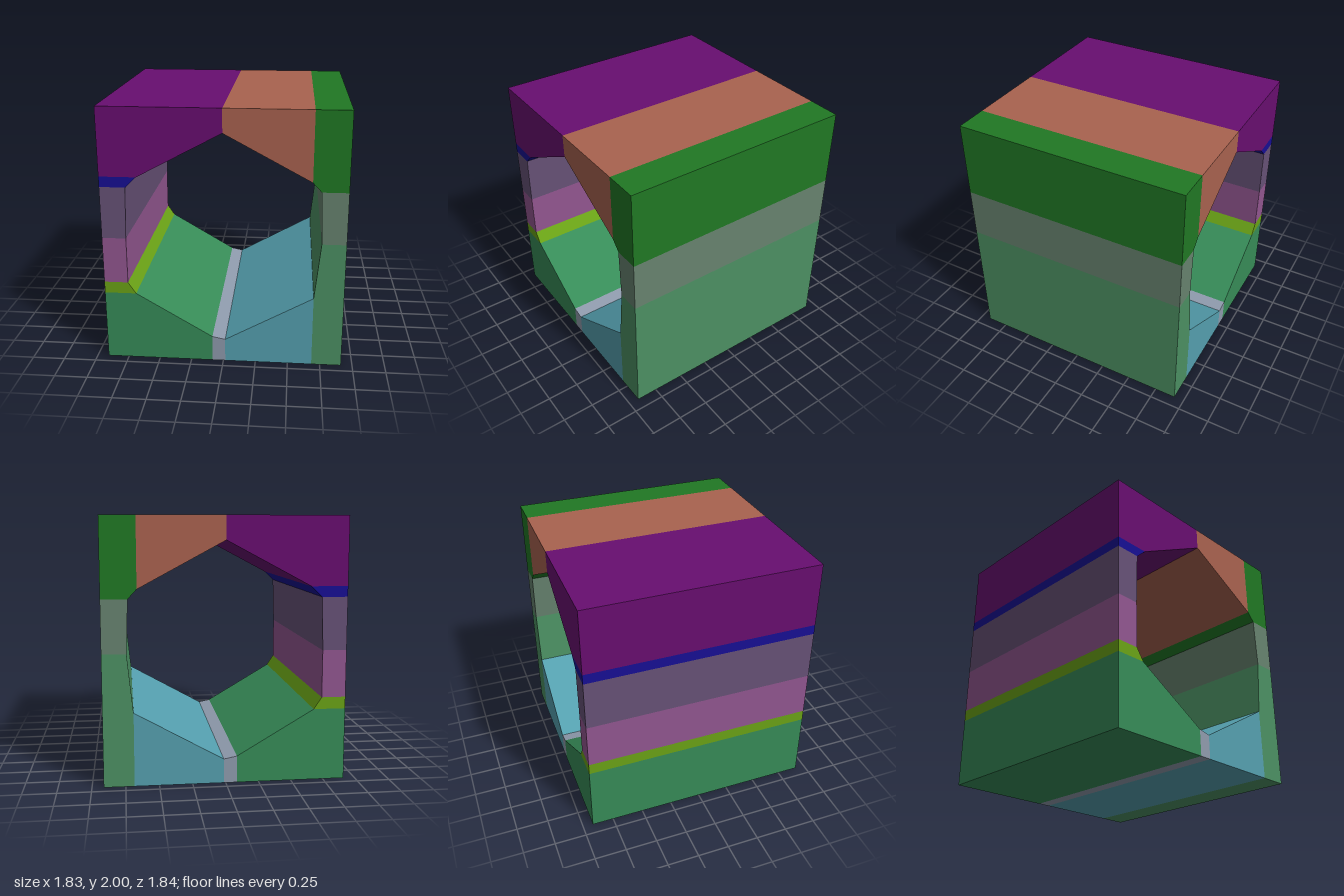
import * as THREE from 'three';

const W = 0.913; // half width
const H = 2; // height
const DEPTH = 1.84;

// Each block: name, colour, outline in x, y
const BLOCKS = [
  // roof
  ['roofLeftBlock', 0xa9624f, [[0, 1.82], [0.65, 1.47], [0.65, H], [0, H]]],
  ['roofRightBlock', 0x680e70, [[-W, 1.48], [-0.635, 1.48], [0, 1.82], [0, H], [-W, H]]],
  // left wall
  ['upperLeftCorner', 0x207824, [[0.65, 1.47], [0.715, 1.4], [W, 1.4], [W, H], [0.65, H]]],
  ['leftWallUpper', 0x67836f, [[0.73, 1], [W, 1], [W, 1.4], [0.715, 1.4]]],
  ['leftWallLower', 0x4c9063, [[0.685, 0], [W, 0], [W, 1], [0.73, 1], [0.685, 0.56]]],
  // floor
  ['floorLeftBlock', 0x55a0af, [[0.015, 0], [0.685, 0], [0.685, 0.56], [0.015, 0.185]]],
  ['floorStrip', 0x8f9bad, [[-0.085, 0], [0.015, 0], [0.015, 0.185], [-0.085, 0.205]]],
  ['floorRightBlock', 0x378c58, [[-W, 0], [-0.085, 0], [-0.085, 0.205], [-0.67, 0.55], [-W, 0.55]]],
  // right wall
  ['rightWallLowerStrip', 0x6ba316, [[-W, 0.55], [-0.67, 0.55], [-0.73, 0.64], [-W, 0.64]]],
  ['rightWallLower', 0x925690, [[-W, 0.64], [-0.73, 0.64], [-0.73, 1], [-W, 1]]],
  ['rightWallUpper', 0x675277, [[-W, 1], [-0.73, 1], [-0.718, 1.4], [-W, 1.4]]],
  ['rightWallUpperStrip', 0x170f94, [[-W, 1.4], [-0.718, 1.4], [-0.635, 1.48], [-W, 1.48]]],
];

// Straight prism running the full depth
function prism(name, color, outline) {
  const shape = new THREE.Shape(outline.map(([x, y]) => new THREE.Vector2(x, y)));
  const geometry = new THREE.ExtrudeGeometry(shape, { depth: DEPTH, bevelEnabled: false });
  geometry.translate(0, 0, -DEPTH / 2);
  const mesh = new THREE.Mesh(geometry, new THREE.MeshStandardMaterial({ color }));
  mesh.name = name;
  return mesh;
}

export function createModel() {
  const model = new THREE.Group();
  model.name = 'blockTunnel';
  for (const [name, color, outline] of BLOCKS) model.add(prism(name, color, outline));
  return model;
}
